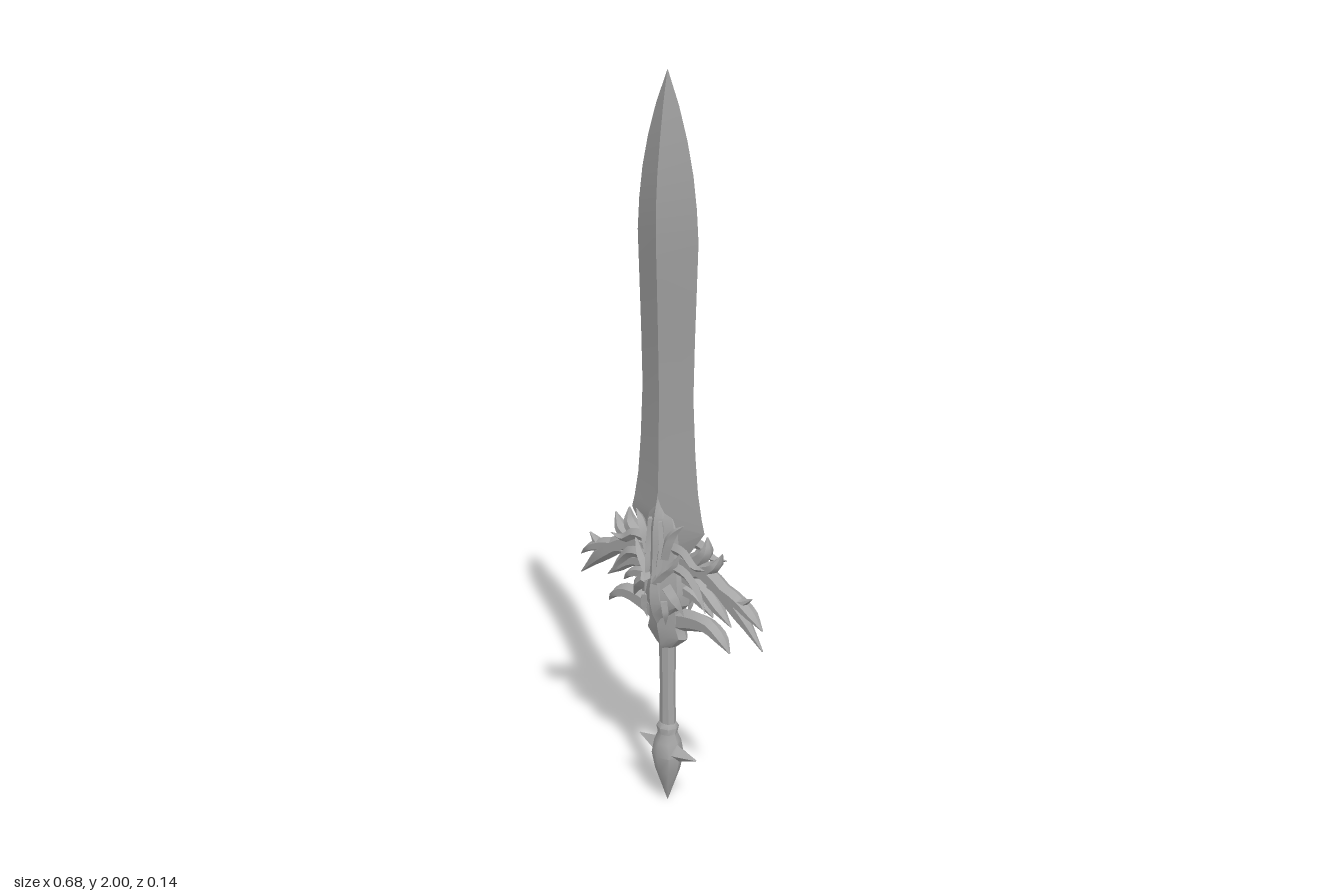
import * as THREE from 'three';
import { toCreasedNormals } from 'three/addons/utils/BufferGeometryUtils.js';

const steel = new THREE.MeshStandardMaterial({ color: 0xa6a6a6 });
steel.name = 'steel';

// Cross-sections: [across, depth]
const DIAMOND = [[1, 0], [0, 1], [-1, 0], [0, -1]];
const BEVEL = [[1, 0], [0.5, 1], [-0.5, 1], [-1, 0], [-0.5, -1], [0.5, -1]];
const ROUND = Array.from({ length: 8 }, (_, i) => [Math.cos(i * Math.PI / 4), Math.sin(i * Math.PI / 4)]);
const MASK = [[1, 0], [0.8, 0.5], [0.38, 0.75], [0, 1], [-0.38, 0.75], [-0.8, 0.5],
  [-1, 0], [-0.8, -0.5], [-0.38, -0.75], [0, -1], [0.38, -0.75], [0.8, -0.5]];

// Sweeps a section along points of [x, y, z, halfWidth, halfDepth]
function sweep(name, points, section, steps = 0, crease = 0.5) {
  let rows = points;
  if (steps) {
    const path = new THREE.CatmullRomCurve3(points.map(p => new THREE.Vector3(p[0], p[1], p[2])));
    rows = [];
    for (let i = 0; i <= steps; i++) {
      const f = (i / steps) * (points.length - 1);
      const k = Math.min(Math.floor(f), points.length - 2);
      const c = path.getPoint(i / steps);
      const mix = j => THREE.MathUtils.lerp(points[k][j], points[k + 1][j], f - k);
      rows.push([c.x, c.y, c.z, mix(3), mix(4)]);
    }
  }
  const pos = [], idx = [], n = section.length, last = rows.length - 1;
  rows.forEach((r, i) => {
    const a = rows[Math.max(i - 1, 0)], b = rows[Math.min(i + 1, last)];
    const dx = b[0] - a[0], dy = b[1] - a[1], len = Math.hypot(dx, dy) || 1;
    for (const [u, v] of section) {
      pos.push(r[0] + dy / len * u * r[3], r[1] - dx / len * u * r[3], r[2] + v * r[4]);
    }
    if (i === last) return;
    for (let k = 0; k < n; k++) {
      const p = i * n + k, q = i * n + (k + 1) % n;
      idx.push(p, p + n, q, q, p + n, q + n);
    }
  });
  for (let k = 1; k < n - 1; k++) {
    idx.push(0, k, k + 1, last * n, last * n + k + 1, last * n + k);
  }
  const geo = new THREE.BufferGeometry();
  geo.setAttribute('position', new THREE.Float32BufferAttribute(pos, 3));
  geo.setIndex(idx);
  const mesh = new THREE.Mesh(toCreasedNormals(geo, crease), steel);
  mesh.name = name;
  return mesh;
}

// Upright part from rows of [y, halfWidth, halfDepth]
const upright = (name, rows, section, crease) =>
  sweep(name, rows.map(([y, w, d]) => [0, y, 0, w, d]), section, 0, crease);

// Flat horn on both sides from rows of [x, y, halfWidth]
function hornPair(name, rows, depth, section = BEVEL) {
  const g = new THREE.Group();
  g.name = name;
  for (const s of [1, -1]) {
    g.add(sweep(name + (s > 0 ? 'Left' : 'Right'), rows.map(([x, y, w], i) =>
      [s * x, y, 0, w, i === rows.length - 1 ? 0.002 : depth]), section, 10));
  }
  return g;
}

// Raised ornament repeated left, right, front and back, rows of [x, y, z, halfWidth]
function relief(name, rows, depth) {
  const g = new THREE.Group();
  g.name = name;
  for (const sx of [1, -1]) for (const sz of [1, -1]) {
    g.add(sweep(name, rows.map(([x, y, z, w], i) =>
      [sx * x, y, sz * z, w, i === rows.length - 1 ? 0.001 : depth]), DIAMOND, 8));
  }
  return g;
}

export function createModel() {
  const sword = new THREE.Group();
  sword.name = 'sword';

  // Blade with a central ridge
  sword.add(upright('blade', [
    [0.76, 0.07, 0.03], [0.845, 0.132, 0.035], [0.88, 0.122, 0.036], [0.95, 0.108, 0.035],
    [1.05, 0.098, 0.033], [1.2, 0.09, 0.031], [1.35, 0.094, 0.034], [1.5, 0.1, 0.038], [1.6, 0.104, 0.041],
    [1.68, 0.098, 0.04], [1.76, 0.086, 0.035], [1.84, 0.066, 0.026], [1.92, 0.038, 0.015], [2, 0.001, 0.001],
  ], DIAMOND, 0.3));

  // Grip, collar and pommel
  sword.add(upright('grip', [[0.22, 0.025, 0.021], [0.36, 0.022, 0.02], [0.5, 0.025, 0.022]], ROUND, 0.4));
  sword.add(upright('pommel', [
    [0, 0.001, 0.001], [0.05, 0.018, 0.017], [0.1, 0.036, 0.033], [0.15, 0.046, 0.042],
    [0.19, 0.038, 0.036], [0.215, 0.028, 0.026], [0.235, 0.032, 0.03], [0.247, 0.024, 0.022],
  ], ROUND, 0.8));
  sword.add(hornPair('pommelSpike', [[0.01, 0.16, 0.045], [0.045, 0.162, 0.023], [0.108, 0.167, 0.001]], 0.022, DIAMOND));

  // Lower guard: hub with downward crescent horns
  sword.add(upright('guardHub', [
    [0.475, 0.012, 0.02], [0.49, 0.036, 0.028], [0.522, 0.072, 0.034], [0.55, 0.06, 0.04], [0.63, 0.06, 0.042],
  ], MASK, 0.4));
  sword.add(hornPair('crescentHorn', [
    [0.02, 0.565, 0.035], [0.09, 0.585, 0.03], [0.15, 0.59, 0.023], [0.195, 0.57, 0.013], [0.225, 0.537, 0.001],
  ], 0.02));

  // Flame-shaped wings
  const wings = new THREE.Group();
  wings.name = 'wings';
  const feathers = [
    [[0.05, 0.75, 0.03], [0.15, 0.735, 0.026], [0.25, 0.67, 0.024], [0.337, 0.585, 0.001]],
    [[0.16, 0.72, 0.02], [0.24, 0.7, 0.02], [0.295, 0.675, 0.012], [0.335, 0.642, 0.001]],
    [[0.13, 0.75, 0.02], [0.2, 0.71, 0.02], [0.255, 0.695, 0.016], [0.298, 0.718, 0.001]],
    [[0.06, 0.72, 0.03], [0.11, 0.765, 0.025], [0.14, 0.8, 0.016], [0.142, 0.84, 0.001]],
    [[0.09, 0.73, 0.025], [0.14, 0.75, 0.022], [0.175, 0.773, 0.014], [0.195, 0.81, 0.001]],
    [[0.06, 0.71, 0.025], [0.13, 0.69, 0.018], [0.18, 0.655, 0.015], [0.228, 0.615, 0.001]],
    [[0.05, 0.67, 0.025], [0.1, 0.665, 0.018], [0.135, 0.65, 0.012], [0.165, 0.62, 0.001]],
  ];
  feathers.forEach((f, i) => wings.add(hornPair('wingFeather' + (i + 1), f, 0.019)));
  sword.add(wings);

  // Central beast mask, the same on front and back
  sword.add(upright('mask', [
    [0.555, 0.004, 0.038], [0.59, 0.04, 0.056], [0.625, 0.078, 0.066], [0.665, 0.084, 0.068], [0.72, 0.076, 0.058],
    [0.78, 0.062, 0.056], [0.83, 0.066, 0.055], [0.865, 0.052, 0.05], [0.895, 0.022, 0.044], [0.94, 0.001, 0.034],
  ], MASK, 0.3));
  const details = new THREE.Group();
  details.name = 'maskDetails';
  details.add(
    relief('brow', [[0.012, 0.69, 0.058, 0.012], [0.035, 0.72, 0.05, 0.014], [0.06, 0.745, 0.042, 0.012], [0.085, 0.79, 0.036, 0.001]], 0.014),
    relief('crestHorn', [[0.03, 0.76, 0.042, 0.014], [0.045, 0.81, 0.042, 0.016], [0.062, 0.84, 0.036, 0.01], [0.085, 0.862, 0.03, 0.001]], 0.014),
    relief('muzzleRidge', [[0.018, 0.86, 0.044, 0.006], [0.024, 0.79, 0.047, 0.01], [0.02, 0.72, 0.055, 0.01], [0.028, 0.64, 0.058, 0.001]], 0.01),
    relief('cheekSpike', [[0.04, 0.68, 0.045, 0.02], [0.07, 0.65, 0.042, 0.016], [0.092, 0.61, 0.034, 0.001]], 0.016),
    relief('fang', [[0.035, 0.64, 0.05, 0.013], [0.04, 0.605, 0.048, 0.01], [0.034, 0.568, 0.042, 0.001]], 0.012),
    relief('maneUpper', [[0.05, 0.79, 0.03, 0.016], [0.09, 0.79, 0.034, 0.016], [0.13, 0.765, 0.036, 0.012], [0.172, 0.77, 0.042, 0.001]], 0.012),
    relief('maneLower', [[0.05, 0.74, 0.034, 0.016], [0.1, 0.735, 0.036, 0.016], [0.14, 0.7, 0.034, 0.012], [0.176, 0.65, 0.042, 0.001]], 0.012),
  );
  sword.add(details);

  return sword;
}
